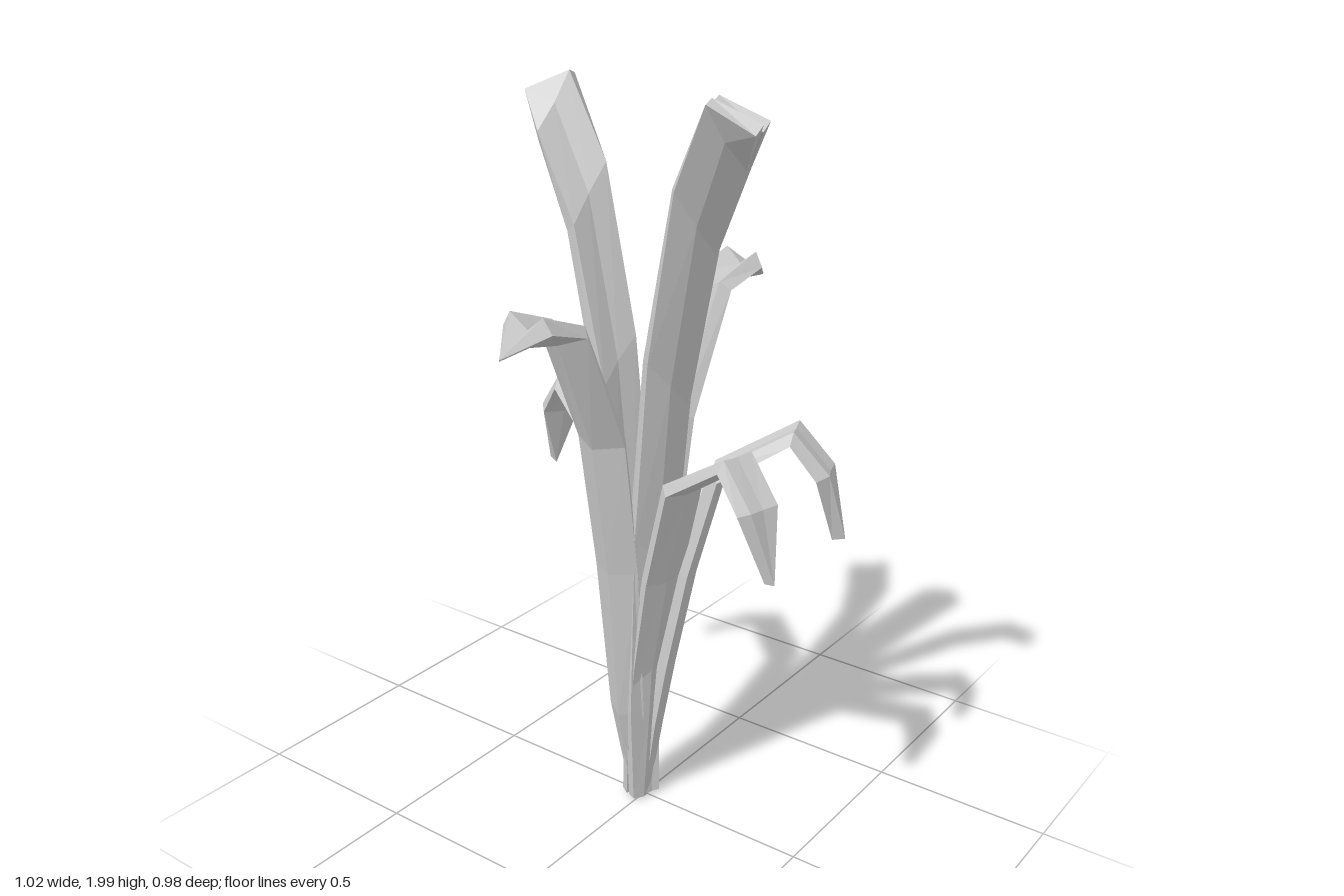
import * as THREE from 'three';

// Leaf kinds: spine rows are [distance outward, height, half width, thickness scale];
// ridge, floor and keel shape the cross-section.
const RIM = 0.035;
const TALL = {
  ridge: 0.88, floor: 0.024, keel: -0.014, lift: 1.25,
  spine: [
    [0.0, 0.01, 0.03, 0.7], [0.02, 0.3, 0.055, 1], [0.052, 0.8, 0.066, 1], [0.104, 1.28, 0.066, 1],
    [0.198, 1.7, 0.066, 1], [0.3, 1.91, 0.064, 1], [0.395, 1.927, 0, 1],
  ],
};
const MIDDLE = {
  ridge: 0.67, floor: 0, keel: -0.04, lift: 0,
  spine: [
    [0.0, 0.01, 0.03, 0.7], [0.045, 0.3, 0.058, 1], [0.087, 0.75, 0.07, 1], [0.147, 1.13, 0.075, 1],
    [0.288, 1.448, 0.075, 0.85], [0.415, 1.486, 0.075, 1.1], [0.515, 1.436, 0, 0.1],
  ],
};
const DROOPING = {
  ridge: 0.75, floor: 0.03, keel: -0.012, lift: 0,
  spine: [
    [0.0, 0.01, 0.028, 0.7], [0.035, 0.25, 0.048, 1], [0.07, 0.45, 0.058, 1], [0.125, 0.73, 0.063, 1],
    [0.2, 1.01, 0.063, 1], [0.385, 1.13, 0.062, 1], [0.455, 1.04, 0.06, 1], [0.495, 0.86, 0, 1],
  ],
};

// Thick strip with a shallow channel along its upper face, swept along a spine.
// lift shears the two edges to different heights towards the tip.
function leafGeometry({ spine, ridge, floor, keel, lift }, angle, x, z) {
  const dir = new THREE.Vector3(Math.sin(angle), 0, Math.cos(angle));
  const centres = spine.map(([r, y]) => new THREE.Vector3(x, y, z).addScaledVector(dir, r));
  const step = (i) => centres[i + 1].clone().sub(centres[i]).normalize();

  const rings = spine.map(([, y, w, h], i) => {
    const tangent = new THREE.Vector3();
    if (i > 0) tangent.add(step(i - 1));
    if (i < spine.length - 1) tangent.add(step(i));
    const side = new THREE.Vector3(Math.cos(angle), -lift * Math.min(1, y / 1.6), -Math.sin(angle));
    const normal = tangent.cross(side).normalize();
    // The tip narrows to a single upright edge
    const [top, bottom] = w > 0 ? [floor, keel] : [RIM, 0];
    const section = [
      [-w, 0], [0, bottom * h], [w, 0], [ridge * w, RIM * h], [0, top * h], [-ridge * w, RIM * h],
    ];
    return section.map(([u, v]) => {
      const p = centres[i].clone().addScaledVector(side, u).addScaledVector(normal, v);
      p.y = Math.max(0, p.y);
      return p;
    });
  });

  const points = [];
  for (let i = 0; i < rings.length - 1; i++) {
    for (let j = 0; j < 6; j++) {
      const k = (j + 1) % 6;
      const [a, b, c, d] = [rings[i][j], rings[i][k], rings[i + 1][k], rings[i + 1][j]];
      points.push(a, b, c, a, c, d);
    }
  }
  // Base cap
  for (let j = 0; j < 6; j++) points.push(rings[0][4], rings[0][(j + 1) % 6], rings[0][j]);

  const geometry = new THREE.BufferGeometry().setFromPoints(points);
  geometry.computeVertexNormals();
  return geometry;
}

export function createModel() {
  const group = new THREE.Group();
  group.name = 'leafyPlant';
  const leafGrey = new THREE.MeshStandardMaterial({ color: 0xcccccc, flatShading: true });
  leafGrey.name = 'leafGrey';

  // name, kind, base x and z, point the tip aims at
  const leaves = [
    ['tallLeafFrontOuter', TALL, -0.02, 0.005, -0.115, 0.38],
    ['tallLeafFrontInner', TALL, 0.02, -0.015, -0.058, 0.36],
    ['tallLeafBack', TALL, 0.018, -0.025, 0.07, -0.41],
    ['middleLeafLeft', MIDDLE, -0.005, -0.027, 0.51, 0.03],
    ['middleLeafRight', MIDDLE, 0, -0.027, -0.51, -0.027],
    ['droopingLeafFrontLeft', DROOPING, 0.02, -0.005, 0.21, 0.48],
    ['droopingLeafFrontRight', DROOPING, -0.01, -0.03, -0.125, 0.47],
    ['droopingLeafBack', DROOPING, 0.018, 0, 0.2, -0.49],
  ];
  for (const [name, kind, x, z, tipX, tipZ] of leaves) {
    const angle = Math.atan2(tipX - x, tipZ - z);
    const leaf = new THREE.Mesh(leafGeometry(kind, angle, x, z), leafGrey);
    leaf.name = name;
    group.add(leaf);
  }
  return group;
}
